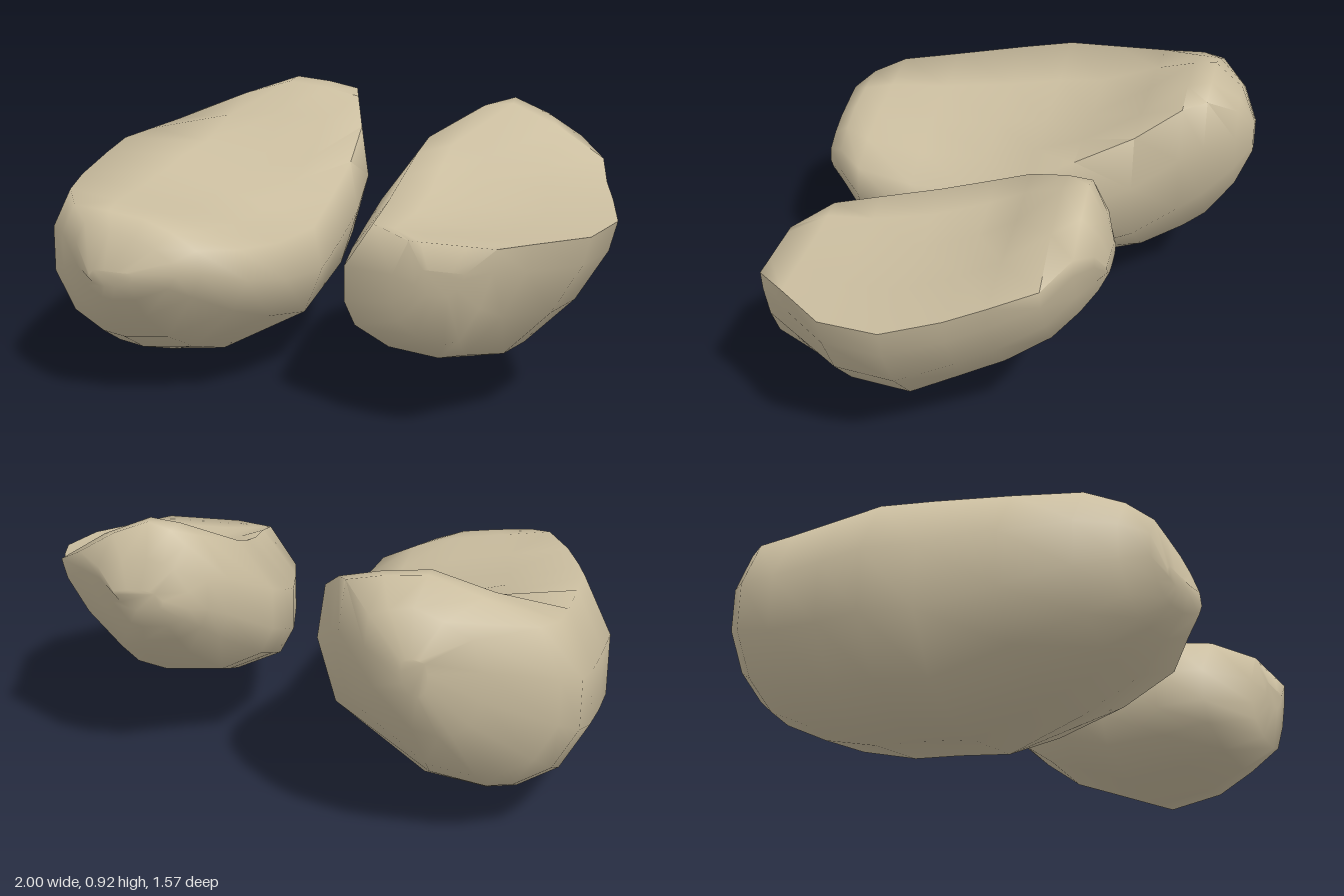
import * as THREE from 'three';
import { toCreasedNormals } from 'three/addons/utils/BufferGeometryUtils.js';

// Each stone has
//  mid: where the scoop line runs across the width (0..1)
//  profile: underside outline, left rim to right rim, [across 0..1, height 0..1 of the rim]
//  stations, back to front: [z, xLeft, xRight, yBottom, yLeftRim, yScoop, yRightRim]
const LARGE = {
  mid: .6,
  profile: [[.1, 1], [0, .7], [0, .4], [.1, .15], [.25, .025], [.36, 0], [.59, .05], [.93, .39], [1, .72], [.97, 1]],
  stations: [
    [-.785, -.5, -.42, .58, .69, .7, .69],
    [-.73, -.66, -.3, .43, .75, .84, .81],
    [-.63, -.88, -.2, .26, .76, .91, .88],
    [-.55, -.94, -.16, .19, .755, .9, .86],
    [-.4, -.965, -.08, .11, .75, .8, .77],
    [-.2, -.985, -.04, .05, .75, .68, .67],
    [-.03, -1, -.035, .025, .75, .64, .58],
    [.15, -.965, -.03, 0, .735, .61, .5],
    [.4, -.905, -.05, .085, .70, .6, .5],
    [.6, -.81, -.09, .185, .69, .62, .52],
    [.7, -.71, -.2, .28, .66, .62, .53],
    [.76, -.62, -.26, .36, .62, .57, .5],
    [.785, -.56, -.4, .41, .46, .46, .46],
  ],
};
const SMALL = {
  mid: .45,
  profile: [[.16, 1], [0, .64], [0, .36], [.06, .18], [.25, .04], [.52, 0], [.66, .05], [.85, .4], [.97, .78], [1, 1]],
  stations: [
    [-.43, .43, .6, .64, .7, .71, .7],
    [-.4, .35, .66, .57, .78, .81, .77],
    [-.35, .3, .74, .5, .86, .92, .8],
    [-.27, .25, .84, .42, .88, .91, .74],
    [-.12, .14, .89, .3, .82, .75, .69],
    [0, .13, .94, .25, .78, .69, .66],
    [.18, .14, 1, .175, .73, .635, .63],
    [.38, .18, .965, .195, .685, .615, .62],
    [.54, .22, .83, .23, .64, .62, .62],
    [.64, .42, .75, .31, .62, .62, .62],
    [.66, .5, .66, .46, .54, .54, .54],
  ],
};

// One closed cross-section: rounded underside, then the scooped top back to the left rim
function section([z, xl, xr, yb, yL, yM, yR], { mid, profile }) {
  const point = (u, y) => [xl + (xr - xl) * u, y, z];
  const ring = profile.map(([u, v]) => point(u, yb + (yL + (yR - yL) * u - yb) * v));
  const half = (a, b) => a * .6 + b * .4;
  ring.push(point((mid + 1) / 2, half(yM, yR)), point(mid, yM), point((mid + .1) / 2, half(yM, yL)));
  return ring;
}

// Skin the cross-sections and close both ends
function loft(stone) {
  const rings = stone.stations.map((s) => section(s, stone));
  const n = rings[0].length, index = [];
  for (let i = 0; i < rings.length - 1; i++) {
    for (let j = 0; j < n; j++) {
      const a = i * n + j, b = i * n + (j + 1) % n;
      index.push(a, b, b + n, a, b + n, a + n);
    }
  }
  const last = (rings.length - 1) * n;
  for (let j = 1; j < n - 1; j++) {
    index.push(0, j + 1, j);
    index.push(last, last + j, last + j + 1);
  }
  const geo = new THREE.BufferGeometry();
  geo.setAttribute('position', new THREE.Float32BufferAttribute(rings.flat(2), 3));
  geo.setIndex(index);
  return toCreasedNormals(geo, 1.45);
}

export function createModel() {
  const group = new THREE.Group();
  group.name = 'scoopedStones';
  const sandy = new THREE.MeshStandardMaterial({ color: 0xcabd9f });
  sandy.name = 'sandy stone';
  const add = (name, stone) => {
    const mesh = new THREE.Mesh(loft(stone), sandy);
    mesh.name = name;
    group.add(mesh);
  };
  add('largeStone', LARGE);
  add('smallStone', SMALL);
  return group;
}
